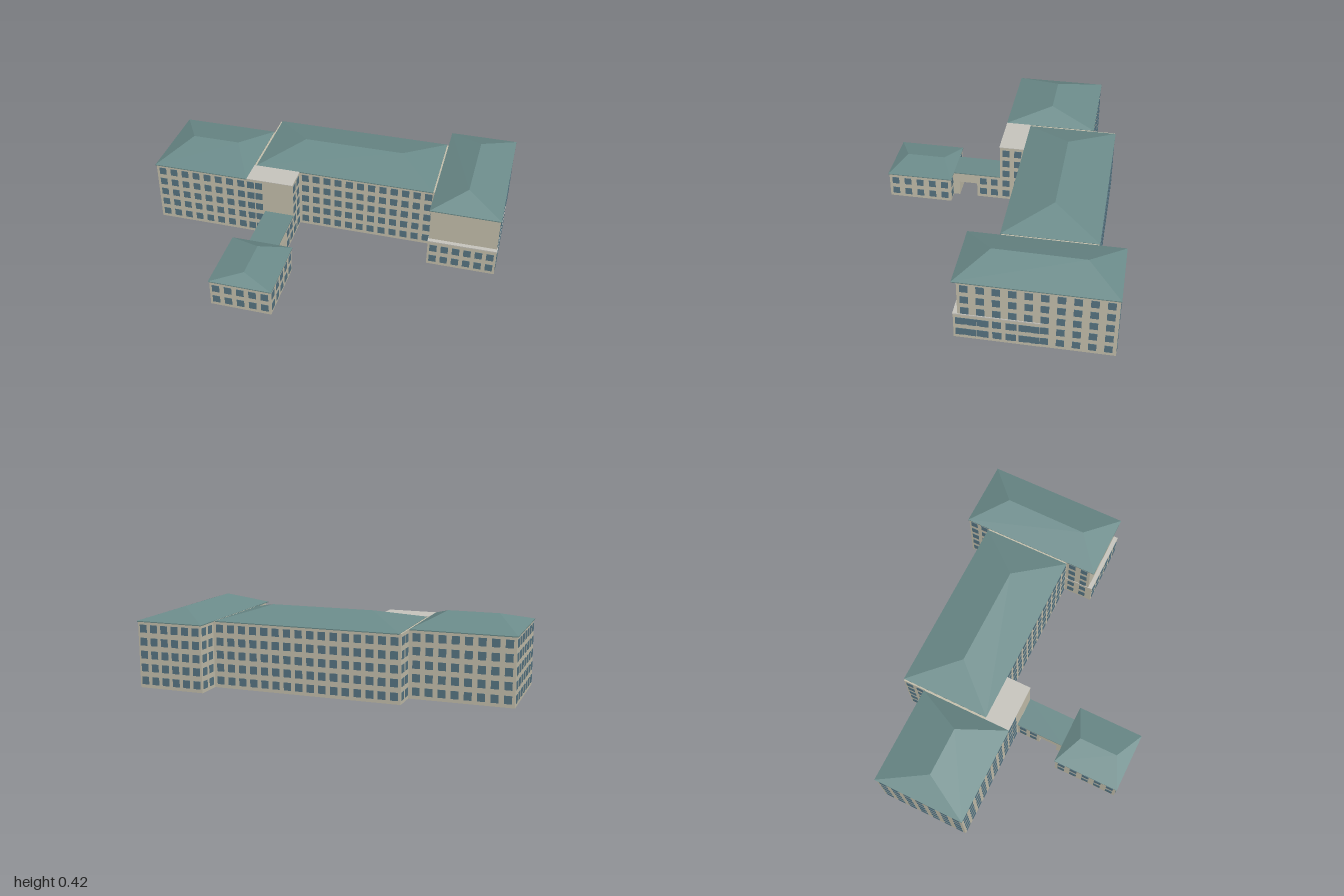
import * as THREE from 'three';
import { mergeGeometries } from 'three/addons/utils/BufferGeometryUtils.js';

const wallMat = new THREE.MeshStandardMaterial({ color: 0xc6c1ae });
const ledgeMat = new THREE.MeshStandardMaterial({ color: 0xc9c7bf });
const roofMat = new THREE.MeshStandardMaterial({ color: 0x6c8c8b });
const glassMat = new THREE.MeshStandardMaterial({ color: 0x587684 });

const EAVE = 0.36, LOW = 0.15, INSET = 0.005;

function add(parent, name, geo, mat) {
  const mesh = new THREE.Mesh(geo, mat);
  mesh.name = name;
  parent.add(mesh);
  return mesh;
}

// Box given by its limits
function block(parent, name, x0, x1, y0, y1, z0, z1, mat = wallMat) {
  const geo = new THREE.BoxGeometry(x1 - x0, y1 - y0, z1 - z0);
  geo.translate((x0 + x1) / 2, (y0 + y1) / 2, (z0 + z1) / 2);
  return add(parent, name, geo, mat);
}

// Hipped roof over a rectangle; the ridge runs from p to q, each [x, z]
function hipRoof(parent, x0, x1, z0, z1, y, ridgeY, p, q) {
  block(parent, 'eave', x0, x1, y - 0.005, y, z0, z1, roofMat);
  const A = [x0, y, z0], B = [x1, y, z0], C = [x1, y, z1], D = [x0, y, z1];
  const P = [p[0], ridgeY, p[1]], Q = [q[0], ridgeY, q[1]];
  const alongX = Math.abs(q[0] - p[0]) > Math.abs(q[1] - p[1]);
  const faces = alongX
    ? [[D, C, Q, P], [B, A, P, Q], [A, D, P], [C, B, Q]]
    : [[A, D, Q, P], [C, B, P, Q], [B, A, P], [D, C, Q]];
  const pos = [];
  for (const f of [...faces, [A, B, C, D]]) {
    for (let i = 1; i < f.length - 1; i++) pos.push(...f[0], ...f[i], ...f[i + 1]);
  }
  const geo = new THREE.BufferGeometry();
  geo.setAttribute('position', new THREE.Float32BufferAttribute(pos, 3));
  geo.computeVertexNormals();
  add(parent, 'hippedRoof', geo, roofMat);
}

// Grid of n windows per floor along the wall from (xa, za) to (xb, zb)
function windows(parent, xa, za, xb, zb, n, floors) {
  const list = [];
  const angle = -Math.atan2(zb - za, xb - xa);
  for (let f = 0; f < floors; f++) {
    for (let i = 0; i < n; i++) {
      const t = (i + 0.5) / n;
      const pane = new THREE.BoxGeometry(0.04, 0.042, 0.005);
      pane.rotateY(angle);
      pane.translate(xa + (xb - xa) * t, 0.04 + 0.07 * f, za + (zb - za) * t);
      list.push(pane);
    }
  }
  add(parent, 'windows', mergeGeometries(list), glassMat);
}

function part(parent, name) {
  const g = new THREE.Group();
  g.name = name;
  parent.add(g);
  return g;
}

export function createModel() {
  const model = new THREE.Group();
  model.name = 'buildingComplex';
  // The whole complex stands turned a little from the axes
  const site = part(model, 'site');
  site.rotation.y = THREE.MathUtils.degToRad(4);

  // Long main range
  const main = part(site, 'mainRange');
  block(main, 'mainWalls', -0.423, 0.612, 0, EAVE - 0.002, -0.555, -0.065);
  hipRoof(main, -0.415, 0.596, -0.56, -0.06, EAVE, 0.422, [-0.192, -0.307], [0.376, -0.307]);
  windows(main, -0.161, -0.065, 0.605, -0.065, 12, 5);
  windows(main, -0.42, -0.555, 0.605, -0.555, 16, 5);
  windows(main, -0.423, -0.555, -0.423, -0.43, 2, 5);

  // Wing on the model's right
  const west = part(site, 'rightWing');
  block(west, 'rightWingWalls', -0.967, -0.42, 0, EAVE - 0.002, -0.426, 0.077);
  hipRoof(west, -0.972, -0.427, -0.431, 0.082, EAVE, 0.422, [-0.83, -0.17], [-0.56, -0.17]);
  windows(west, -0.965, 0.077, -0.43, 0.077, 8, 5);
  windows(west, -0.965, -0.426, -0.43, -0.426, 8, 5);
  windows(west, -0.967, -0.426, -0.967, 0.077, 7, 5);

  // Flat-roofed stair block in the corner, mostly blank in front
  const stair = part(site, 'stairBlock');
  block(stair, 'stairWalls', -0.427, -0.163, 0, EAVE - 0.002, -0.08, 0.078);
  block(stair, 'flatRoof', -0.427, -0.161, EAVE - 0.002, EAVE + 0.001, -0.06, 0.081, ledgeMat);
  windows(stair, -0.43, 0.078, -0.335, 0.078, 2, 5);
  windows(stair, -0.163, -0.06, -0.163, 0.078, 2, 5);

  // Wing on the model's left, running front to back
  const east = part(site, 'leftWing');
  const x0 = 0.61, x1 = 0.98, back = -0.69, front = 0.082;
  block(east, 'leftWingWalls', x0, x1, 0, EAVE - 0.002, back, front);
  hipRoof(east, 0.605, 0.985, -0.694, 0.106, EAVE, 0.422, [0.793, -0.52], [0.788, -0.05]);
  windows(east, x1, back, x1, 0.085, 10, 5);
  windows(east, x0, back, x0, -0.56, 2, 5);
  windows(east, x0, -0.065, x0, front, 2, 5);
  windows(east, x0, back, x1, back, 6, 5);

  // Two-storey base projecting from that wing
  const base = part(site, 'wingBase');
  block(base, 'baseWalls', x0 - 0.001, x1 + 0.002, 0, LOW, -0.33, 0.104);
  block(base, 'baseLedge', x0 - 0.003, x1 + 0.004, LOW, LOW + 0.006, -0.33, 0.106, ledgeMat);
  windows(base, x0, 0.104, x1, 0.104, 6, 2);
  windows(base, x1 + 0.002, -0.33, x1 + 0.002, 0.104, 7, 2);

  // Covered link with a passage through it
  const link = part(site, 'link');
  const l0 = -0.322, l1 = -0.163;
  block(link, 'linkWalls', l0, l1, 0, LOW, 0.07, 0.215);
  block(link, 'passageLintel', l0, l1, 0.09, LOW, 0.215, 0.32);
  block(link, 'passagePier', l0, l1, 0, LOW, 0.32, 0.36);
  block(link, 'linkRoof', l0 - 0.004, l1 + 0.004, LOW, LOW + 0.005, 0.079, 0.36, roofMat);
  for (const x of [l0, l1]) windows(link, x, 0.08, x, 0.21, 2, 2);

  // Front pavilion
  const pav = part(site, 'pavilion');
  const p0 = -0.418, p1 = -0.088, pb = 0.357, pf = 0.722;
  block(pav, 'pavilionWalls', p0, p1, 0, LOW, pb, pf);
  hipRoof(pav, -0.423, -0.083, 0.352, 0.727, LOW + 0.005, 0.19, [-0.253, 0.43], [-0.253, 0.648]);
  for (const x of [p0, p1]) windows(pav, x, pb, x, pf, 5, 2);
  windows(pav, p0, pf, p1, pf, 5, 2);
  windows(pav, p0, pb, l0, pb, 1, 2);
  windows(pav, l1, pb, p1, pb, 1, 2);

  return model;
}
